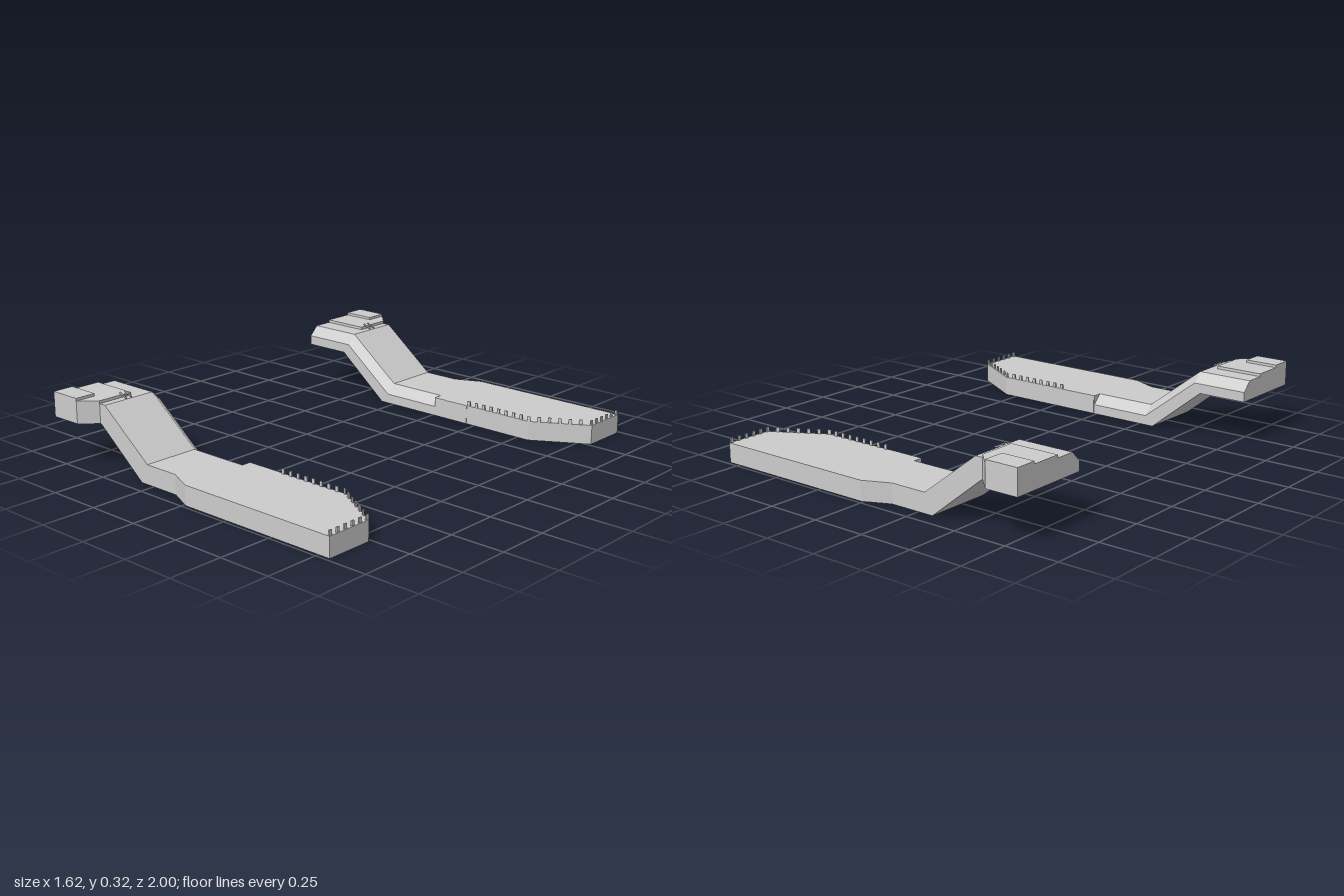
import * as THREE from 'three';

const material = new THREE.MeshStandardMaterial({ color: 0xcccccc, flatShading: true });

// Hull stations along x: [xTop, xBottom, yTop, yBottom, zInner, zOuter, chamfer]
const STATIONS = [
  [-0.81, -0.81, 0.295, 0.205, 0.62, 1.0, 0.045],
  [-0.655, -0.655, 0.295, 0.205, 0.62, 1.0, 0.045],
  [-0.585, -0.585, 0.295, 0.205, 0.62, 0.93, 0.045],
  [-0.55, -0.58, 0.295, 0.205, 0.62, 0.93, 0.045],
  [-0.285, -0.325, 0.09, 0, 0.62, 0.93, 0.045],
  [-0.11, -0.11, 0.09, 0, 0.62, 0.93, 0.045],
  [0.012, 0.012, 0.09, 0, 0.62, 0.985, 0.045],
  [0.012, 0.012, 0.09, 0, 0.62, 0.985, 0],
  [0.56, 0.56, 0.09, 0, 0.62, 0.985, 0],
  [0.808, 0.808, 0.09, 0, 0.765, 0.985, 0],
];

// Five-cornered sections joined into a closed solid
function hullGeometry() {
  const pos = [], index = [], n = 5;
  for (const [xt, xb, yt, yb, zi, zo, c] of STATIONS) {
    pos.push(xb, yb, zi, xt, yt - c, zi, xt, yt, zi + c, xt, yt, zo, xb, yb, zo);
  }
  const last = STATIONS.length - 1;
  for (let i = 0; i < last; i++) {
    for (let j = 0; j < n; j++) {
      const a = i * n + j, b = i * n + (j + 1) % n;
      index.push(a, b, b + n, a, b + n, a + n);
    }
  }
  for (let j = 1; j < n - 1; j++) {
    index.push(0, j + 1, j);
    index.push(last * n, last * n + j, last * n + j + 1);
  }
  const g = new THREE.BufferGeometry();
  g.setAttribute('position', new THREE.Float32BufferAttribute(pos, 3));
  g.setIndex(index);
  return g;
}

// Flat plate from an x/z outline, hanging down from yTop
function plateGeometry(outline, yTop, depth) {
  const shape = new THREE.Shape(outline.map(([x, z]) => new THREE.Vector2(x, z)));
  return new THREE.ExtrudeGeometry(shape, { depth, bevelEnabled: false })
    .rotateX(Math.PI / 2).translate(0, yTop, 0);
}

function box(w, h, d, x, y, z, rotY = 0, rotZ = 0) {
  return new THREE.BoxGeometry(w, h, d).rotateZ(rotZ).rotateY(rotY).translate(x, y, z);
}

// Flip to the other side of z = 0, swapping corners so faces stay outward
function flipZ(geometry) {
  const p = geometry.attributes.position;
  for (let i = 0; i < p.count; i += 3) {
    const [a, b, c] = [0, 1, 2].map(k => new THREE.Vector3().fromBufferAttribute(p, i + k));
    [a, c, b].forEach((v, k) => p.setXYZ(i + k, v.x, v.y, -v.z));
  }
}

function buildSide(side) {
  const group = new THREE.Group();
  group.name = side > 0 ? 'frontPlatform' : 'backPlatform';
  const add = (name, geometry) => {
    const g = geometry.index ? geometry.toNonIndexed() : geometry;
    if (side < 0) flipZ(g);
    g.computeVertexNormals();
    const mesh = new THREE.Mesh(g, material);
    mesh.name = name;
    group.add(mesh);
  };

  add('hull', hullGeometry());

  // Stepped roof of the raised end
  add('headPlate', plateGeometry(
    [[-0.81, 0.757], [-0.585, 0.757], [-0.585, 0.93], [-0.655, 1.0], [-0.81, 1.0]], 0.308, 0.02));
  add('headBlock', box(0.155, 0.02, 0.1, -0.7325, 0.31, 0.95));

  // Small sloping bracket at the top of the ramp
  for (const z of [0.784, 0.812]) add('bracketArm', box(0.045, 0.006, 0.006, -0.57, 0.309, z, 0, -0.4));
  add('bracketBar', box(0.008, 0.006, 0.03, -0.57, 0.309, 0.798));

  // Panel on the inner wall, just past the chamfer
  add('sidePanel', box(0.19, 0.085, 0.004, 0.11, 0.047, 0.62));

  // Row of small posts along the inner edge, the slanted corner and the end
  const edge = [[0.215, 0.625], [0.558, 0.625], [0.802, 0.768], [0.802, 0.975]];
  for (let i = 0; i < edge.length - 1; i++) {
    const [x0, z0] = edge[i], [x1, z1] = edge[i + 1];
    const count = Math.round(Math.hypot(x1 - x0, z1 - z0) / 0.045);
    const angle = -Math.atan2(z1 - z0, x1 - x0);
    for (let k = 0; k < count + (i === 2 ? 1 : 0); k++) {
      const t = k / count;
      add('edgePost', box(0.015, 0.024, 0.006,
        x0 + (x1 - x0) * t, 0.1, z0 + (z1 - z0) * t, angle));
    }
  }
  return group;
}

export function createModel() {
  const model = new THREE.Group();
  model.name = 'pairedPlatforms';
  model.add(buildSide(1), buildSide(-1));
  return model;
}
